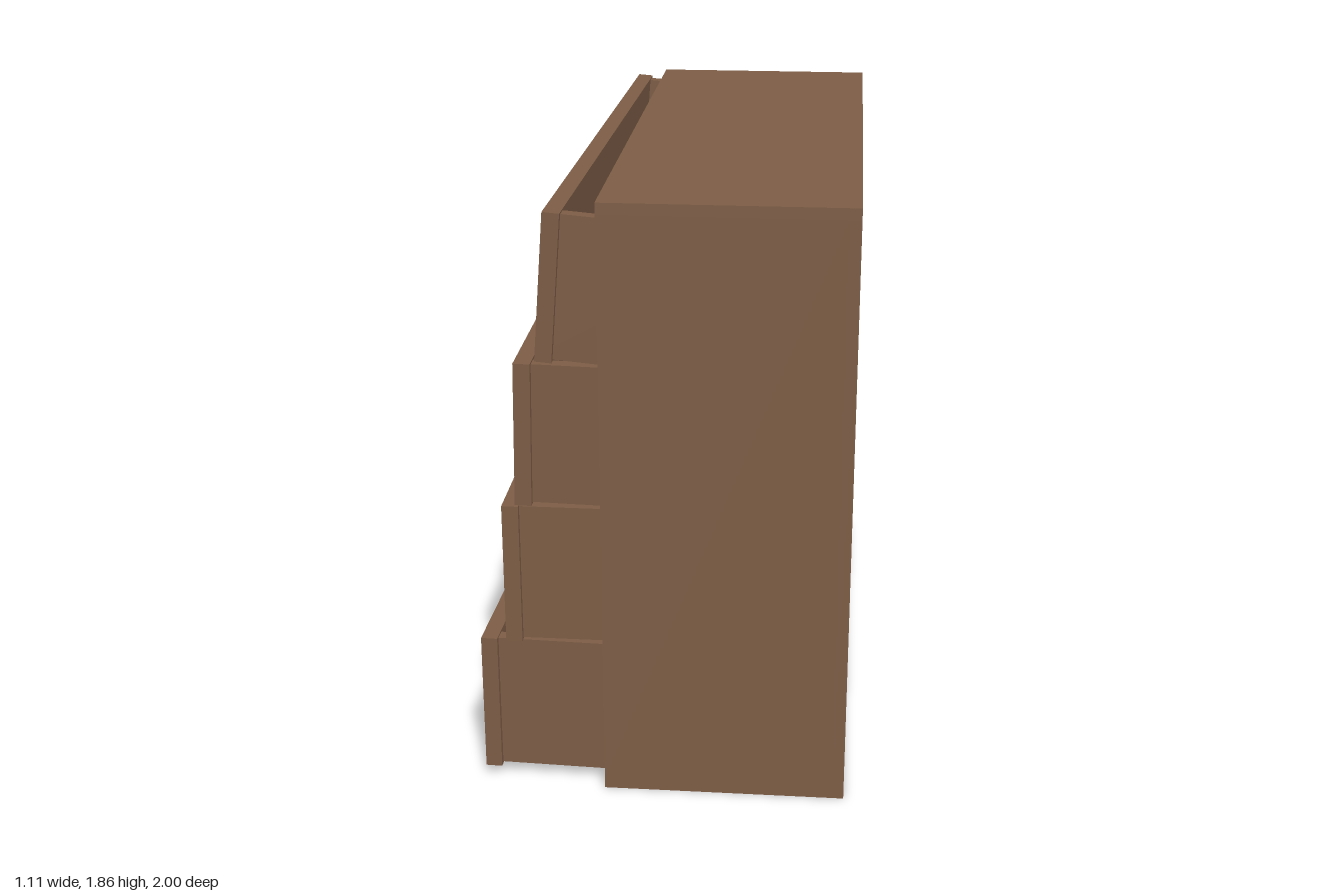
import * as THREE from 'three';

const wood = new THREE.MeshStandardMaterial({ color: 0x7d5d46 });
wood.name = 'brownWood';
const metal = new THREE.MeshStandardMaterial({ color: 0x646668 });
metal.name = 'greyMetal';

// Box given by its low and high corners
function box(parent, name, material, [x0, y0, z0], [x1, y1, z1]) {
  const mesh = new THREE.Mesh(new THREE.BoxGeometry(x1 - x0, y1 - y0, z1 - z0), material);
  mesh.position.set((x0 + x1) / 2, (y0 + y1) / 2, (z0 + z1) / 2);
  mesh.name = name;
  parent.add(mesh);
}

// Hollow carcass, open towards -x
function createCabinet() {
  const g = new THREE.Group();
  g.name = 'cabinet';
  const t = 0.035, x0 = -0.18, x1 = 0.555, h = 1.86;
  box(g, 'cabinetBottom', wood, [x0, 0, -1], [x1, t, 1]);
  box(g, 'cabinetTop', wood, [x0, h - t, -1], [x1, h, 1]);
  box(g, 'cabinetBack', wood, [x1 - t, t, -1], [x1, h - t, 1]);
  for (const s of [-1, 1]) {
    const za = s * 1, zb = s * (1 - t);
    box(g, 'cabinetSide', wood, [x0, t, Math.min(za, zb)], [x1 - t, h - t, Math.max(za, zb)]);
  }
  return g;
}

// Open-topped drawer about its own centre, front panel at -x
function createDrawer() {
  const g = new THREE.Group();
  g.name = 'drawer';
  const f = -0.36, p = f + 0.05, b = 0.33, t = 0.04;
  const H = 0.2225, W = 0.973, h = 0.217, w = 0.955;

  // Front: rim extruded around a shallow recess
  const rim = new THREE.Shape();
  rim.moveTo(-W, -H).lineTo(W, -H).lineTo(W, H).lineTo(-W, H).closePath();
  const e = 0.016, hole = new THREE.Path();
  hole.moveTo(-W + e, -H + e).lineTo(-W + e, H - e).lineTo(W - e, H - e).lineTo(W - e, -H + e).closePath();
  rim.holes.push(hole);
  const geo = new THREE.ExtrudeGeometry(rim, { depth: 0.01, bevelEnabled: false });
  geo.rotateY(-Math.PI / 2).translate(f + 0.01, 0, 0);
  const rimMesh = new THREE.Mesh(geo, wood);
  rimMesh.name = 'drawerFrontRim';
  g.add(rimMesh);
  box(g, 'drawerFront', wood, [f + 0.01, -H, -W], [p, H, W]);

  // Tray
  box(g, 'drawerFloor', wood, [p, -h, -w], [b, -h + t, w]);
  box(g, 'drawerBack', wood, [b - t, -h + t, -w], [b, h, w]);
  box(g, 'drawerSide', wood, [p, -h + t, -w], [b - t, h, -w + t]);
  box(g, 'drawerSide', wood, [p, -h + t, w - t], [b - t, h, w]);

  box(g, 'handle', metal, [f - 0.025, -0.035, -0.265], [f + 0.01, 0.035, 0.265]);
  return g;
}

export function createModel() {
  const model = new THREE.Group();
  model.name = 'chestOfDrawers';
  model.add(createCabinet());

  // Each drawer sits a little askew: position x, y and rotation x, y, z
  const poses = [
    [-0.162, 0.257, 0, -0.038, 0],
    [-0.118, 0.704, 0, 0, 0],
    [-0.066, 1.159, 0.015, -0.008, -0.02],
    [0.035, 1.583, 0.012, -0.028, -0.078],
  ];
  for (const [x, y, rx, ry, rz] of poses) {
    const drawer = createDrawer();
    drawer.position.set(x, y, 0);
    drawer.rotation.set(rx, ry, rz);
    model.add(drawer);
  }
  return model;
}
